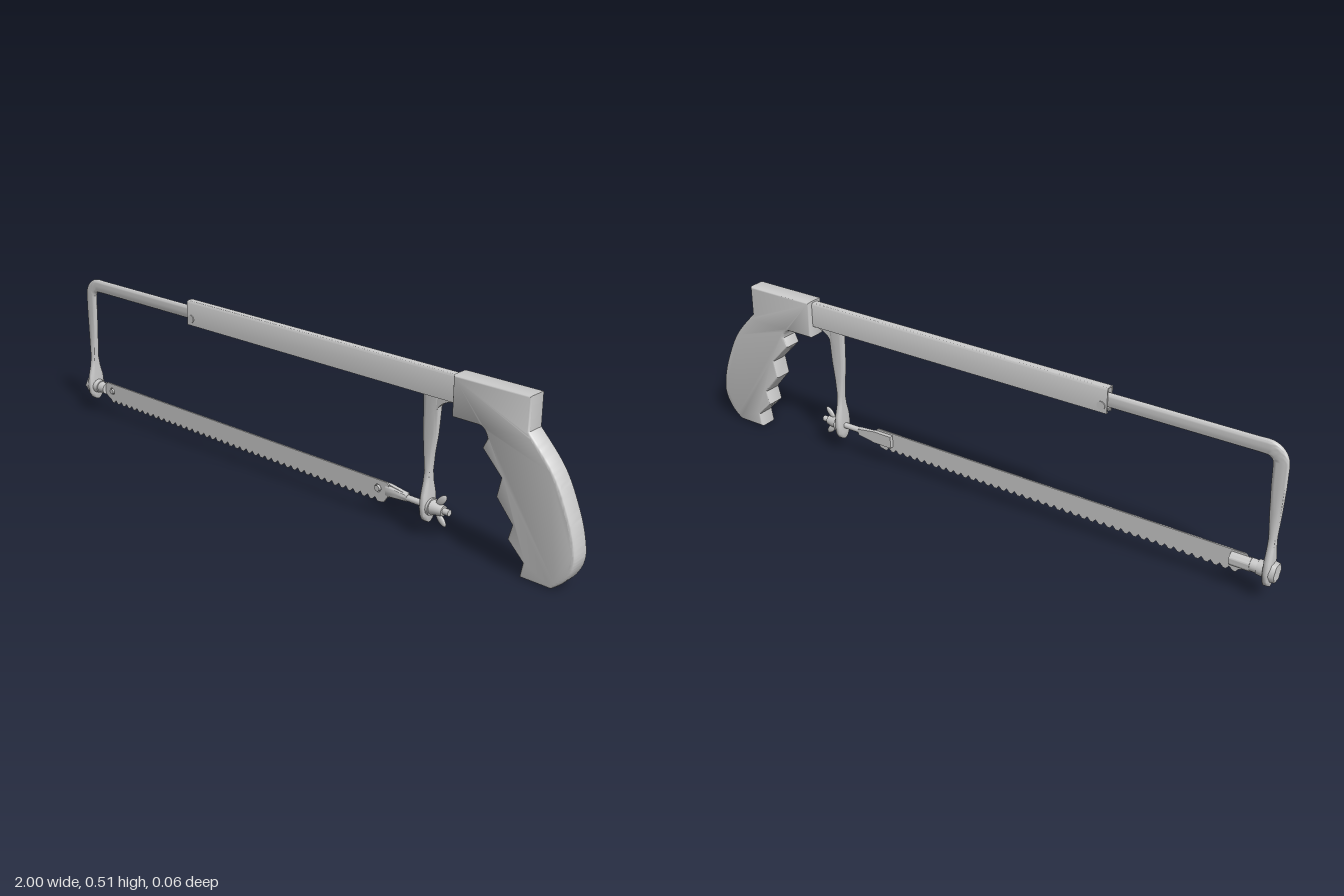
import * as THREE from 'three';
import { toCreasedNormals } from 'three/addons/utils/BufferGeometryUtils.js';

const material = new THREE.MeshStandardMaterial({ color: 0xcccccc });
const BOLT_Y = 0.098;

function add(group, name, geometry, x = 0, y = 0, z = 0) {
  const mesh = new THREE.Mesh(geometry, material);
  mesh.name = name;
  mesh.position.set(x, y, z);
  group.add(mesh);
  return mesh;
}

// Sweeps a rounded-rectangle section along stations [x, y, half width, half depth]
function sweep(stations, sides = 20) {
  const pos = [], index = [], n = sides, last = stations.length - 1;
  const round = (v) => Math.sign(v) * Math.pow(Math.abs(v), 0.6);
  stations.forEach(([x, y, w, d], i) => {
    const a = stations[Math.max(i - 1, 0)], b = stations[Math.min(i + 1, last)];
    const len = Math.hypot(b[0] - a[0], b[1] - a[1]);
    const nx = -(b[1] - a[1]) / len, ny = (b[0] - a[0]) / len;
    for (let j = 0; j < n; j++) {
      const t = (j / n) * Math.PI * 2, u = round(Math.cos(t)) * w;
      pos.push(x + nx * u, y + ny * u, round(Math.sin(t)) * d);
    }
  });
  for (let i = 0; i < last; i++) {
    for (let j = 0; j < n; j++) {
      const a = i * n + j, b = i * n + (j + 1) % n;
      index.push(a, b, a + n, b, b + n, a + n);
    }
  }
  for (let j = 1; j < n - 1; j++) {
    index.push(0, j + 1, j, last * n, last * n + j, last * n + j + 1);
  }
  const g = new THREE.BufferGeometry();
  g.setAttribute('position', new THREE.Float32BufferAttribute(pos, 3));
  g.setIndex(index);
  return toCreasedNormals(g, 0.8);
}

// Cylinder lying along x, from x0 to x1
function xCylinder(x0, x1, r0, r1 = r0, sides = 24) {
  return new THREE.CylinderGeometry(r1, r0, x1 - x0, sides)
    .rotateZ(-Math.PI / 2).translate((x0 + x1) / 2, 0, 0);
}

function plate(shape, z0, z1, bevel = 0) {
  const g = new THREE.ExtrudeGeometry(shape, {
    depth: z1 - z0 - 2 * bevel, curveSegments: 12, bevelEnabled: bevel > 0,
    bevelSize: bevel, bevelThickness: bevel, bevelOffset: -bevel, bevelSegments: 4,
  });
  return toCreasedNormals(g.translate(0, 0, z0 + bevel), 0.7);
}

const polygon = (points) => new THREE.Shape(points.map(([x, y]) => new THREE.Vector2(x, y)));

function hole(shape, x, y, r) {
  shape.holes.push(new THREE.Path().absarc(x, y, r, 0, Math.PI * 2, true));
}

// Pistol grip with finger notches
function gripShape() {
  const s = new THREE.Shape();
  s.moveTo(0.595, 0.515);
  s.lineTo(0.595, 0.395);
  s.lineTo(0.685, 0.395);
  s.quadraticCurveTo(0.705, 0.392, 0.712, 0.365);
  for (const [x, y] of [[0.698, 0.335], [0.762, 0.268], [0.75, 0.21], [0.805, 0.145],
    [0.793, 0.1], [0.845, 0.048], [0.837, 0.003], [0.935, 0.003]]) s.lineTo(x, y);
  s.splineThru([[0.972, 0.035], [0.996, 0.08], [0.998, 0.13], [0.975, 0.215],
    [0.922, 0.325], [0.84, 0.418]].map(([x, y]) => new THREE.Vector2(x, y)));
  s.lineTo(0.84, 0.515);
  return s;
}

// Toothed blade with a pin hole at each end
function bladeShape() {
  const pts = [[0.36, 0.125], [-0.905, 0.125], [-0.922, 0.108], [-0.918, 0.085], [-0.898, 0.07]];
  const count = 44, x0 = -0.89, pitch = 1.235 / count;
  for (let i = 0; i < count; i++) {
    const x = x0 + i * pitch;
    pts.push([x, 0.068], [x + pitch * 0.3, 0.057], [x + pitch * 0.6, 0.057]);
  }
  pts.push([0.35, 0.06], [0.367, 0.085], [0.367, 0.118]);
  const s = polygon(pts);
  for (const x of [-0.88, 0.327]) hole(s, x, 0.098, 0.012);
  return s;
}

// Folded channel profile, open along the underside
function channelShape() {
  const s = new THREE.Shape();
  s.moveTo(-0.006, 0.43);
  s.lineTo(-0.015, 0.43);
  s.lineTo(-0.015, 0.5);
  s.quadraticCurveTo(-0.015, 0.51, -0.006, 0.51);
  s.lineTo(0.006, 0.51);
  s.quadraticCurveTo(0.015, 0.51, 0.015, 0.5);
  s.lineTo(0.015, 0.43);
  s.lineTo(0.006, 0.43);
  for (const [z, y] of [[0.006, 0.434], [0.011, 0.434], [0.011, 0.505],
    [-0.011, 0.505], [-0.011, 0.434], [-0.006, 0.434]]) s.lineTo(z, y);
  return s;
}

// Lower part of a post, flattened across into an eye for the bolt
const eye = (x) => [[x, 0.205, 0.011, 0.012], [x, 0.17, 0.011, 0.018], [x, 0.135, 0.012, 0.028],
  [x, 0.1, 0.012, 0.031], [x, 0.075, 0.012, 0.028], [x, 0.058, 0.011, 0.018], [x, 0.051, 0.01, 0.008]];

export function createModel() {
  const model = new THREE.Group();
  model.name = 'hacksaw';

  add(model, 'handle', plate(gripShape(), -0.032, 0.032, 0.009));

  // Sleeve and its rivet
  const sleeve = new THREE.ExtrudeGeometry(channelShape(), { depth: 1.07, bevelEnabled: false, curveSegments: 6 });
  sleeve.rotateY(Math.PI / 2).translate(-0.465, 0, 0);
  add(model, 'sleeve', toCreasedNormals(sleeve, 0.7));
  add(model, 'sleeveRivet', new THREE.CylinderGeometry(0.013, 0.013, 0.036, 20).rotateX(Math.PI / 2), -0.447, 0.452);

  // Sliding frame bar bending down into the front post
  const bar = [[-0.3, 0.468, 0.021, 0.009], [-0.9, 0.468, 0.021, 0.009]];
  for (let i = 0; i <= 8; i++) {
    const a = Math.PI / 2 * (1 + i / 8);
    bar.push([-0.93 + 0.042 * Math.cos(a), 0.426 + 0.042 * Math.sin(a), 0.022, 0.009]);
  }
  bar.push([-0.973, 0.36, 0.021, 0.009], [-0.974, 0.28, 0.017, 0.01], ...eye(-0.975));
  add(model, 'frameBar', sweep(bar));

  // Rear post under the sleeve, with a gusset against the handle
  add(model, 'rearPost', sweep([[0.51, 0.45, 0.033, 0.01], [0.51, 0.42, 0.03, 0.01],
    [0.509, 0.38, 0.028, 0.01], [0.507, 0.32, 0.025, 0.01], [0.505, 0.26, 0.017, 0.011], ...eye(0.505)]));
  const gusset = new THREE.Shape();
  gusset.moveTo(0.525, 0.44);
  gusset.lineTo(0.525, 0.38);
  gusset.quadraticCurveTo(0.54, 0.428, 0.6, 0.428);
  gusset.lineTo(0.6, 0.44);
  add(model, 'rearPostGusset', plate(gusset, -0.009, 0.009));

  add(model, 'blade', plate(bladeShape(), 0, 0.005));

  // Front blade holder: bolt head, stud and half-round seat
  add(model, 'frontBoltHead', xCylinder(-1, -0.984, 0.029, 0.031, 6), 0, BOLT_Y);
  add(model, 'frontCollar', xCylinder(-0.966, -0.945, 0.024, 0.022), 0, BOLT_Y);
  add(model, 'frontStud', xCylinder(-0.95, -0.915, 0.019), 0, BOLT_Y);
  const seat = new THREE.Shape();
  seat.absarc(0, 0, 0.021, 0, Math.PI, false);
  const seatGeometry = new THREE.ExtrudeGeometry(seat, { depth: 0.06, bevelEnabled: false, curveSegments: 16 });
  seatGeometry.rotateY(Math.PI / 2).rotateX(-Math.PI / 2).translate(-0.925, 0, 0);
  add(model, 'frontBladeSeat', toCreasedNormals(seatGeometry, 0.7), 0, BOLT_Y);

  // Rear blade holder: spade and threaded tension rod
  add(model, 'rearBladeSeat', plate(polygon([[0.3, 0.078], [0.365, 0.078], [0.43, 0.088],
    [0.43, 0.108], [0.365, 0.118], [0.3, 0.118]]), -0.013, 0));
  add(model, 'tensionNeck', sweep([[0.355, BOLT_Y, 0.018, 0.006], [0.395, BOLT_Y, 0.014, 0.009],
    [0.435, BOLT_Y, 0.01, 0.01]]));
  add(model, 'tensionRod', xCylinder(0.42, 0.582, 0.0095), 0, BOLT_Y);

  // Pins through the blade
  for (const x of [-0.88, 0.327]) {
    add(model, 'bladePin', new THREE.CylinderGeometry(0.009, 0.009, 0.02, 16).rotateX(Math.PI / 2), x, 0.098, 0);
  }

  // Wing nut
  const nut = new THREE.Group();
  nut.name = 'wingNut';
  nut.position.set(0, BOLT_Y, 0);
  add(nut, 'washer', xCylinder(0.515, 0.523, 0.026));
  add(nut, 'hub', xCylinder(0.523, 0.562, 0.022, 0.015));
  for (const side of [1, -1]) {
    const wing = add(nut, 'wing', new THREE.SphereGeometry(1, 16, 10), 0.553, side * 0.029, 0);
    wing.scale.set(0.011, 0.024, 0.006);
    wing.rotation.z = -side * 0.75;
  }
  model.add(nut);

  return model;
}
